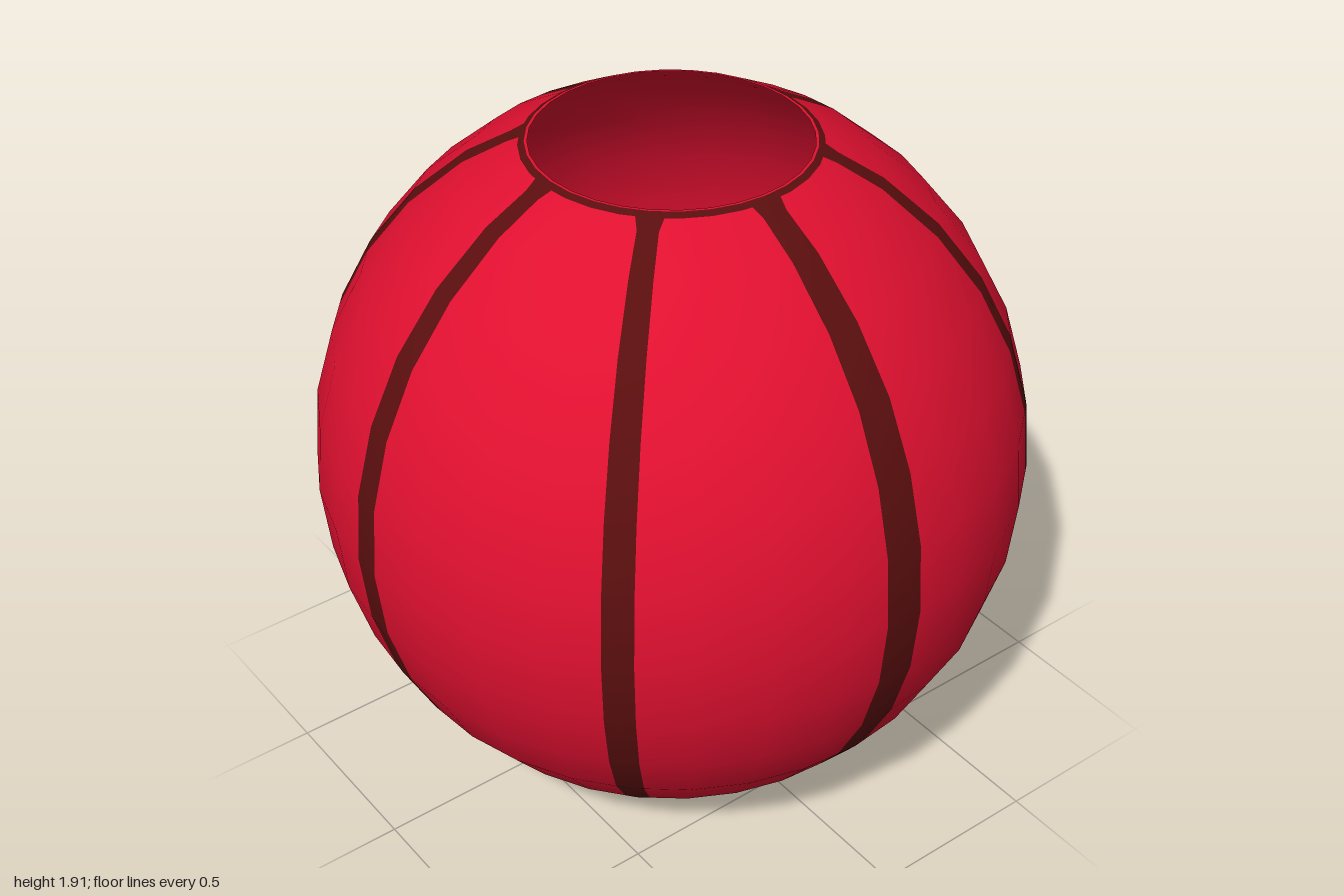
import * as THREE from 'three';

const STEP = 11.25;              // degrees per facet, both ways round
const STRETCH = 1.036;           // slight vertical stretch of the globe
const HALF = STRETCH * Math.cos(THREE.MathUtils.degToRad(22.5));
const rad = THREE.MathUtils.degToRad;
const lerp = THREE.MathUtils.lerp;

// Profile corner i (0 = bottom opening, 12 = top opening) as [radius, height]
function corner(i) {
  const lat = rad(-67.5 + STEP * i);
  return [Math.cos(lat), HALF + STRETCH * Math.sin(lat)];
}

// Point on the faceted globe at row t and azimuth a (degrees, 0 = front, 90 = +x)
function surfacePoint(t, a) {
  const i = Math.min(11, Math.floor(t)), f = t - i;
  const lo = corner(i), hi = corner(i + 1);
  const r = lerp(lo[0], hi[0], f), y = lerp(lo[1], hi[1], f);
  const s = Math.floor(a / STEP), g = a / STEP - s;
  const a0 = rad(s * STEP), a1 = rad((s + 1) * STEP);
  return new THREE.Vector3(
    r * lerp(Math.sin(a0), Math.sin(a1), g), y,
    r * lerp(Math.cos(a0), Math.cos(a1), g));
}

// Patch of the globe: columns(t) returns the azimuths for each row
function patch(rows, columns) {
  const pos = [], nor = [], idx = [];
  let n = 0;
  rows.forEach((t, j) => {
    const cols = columns(t);
    n = cols.length;
    cols.forEach((a, i) => {
      const p = surfacePoint(t, a);
      const m = new THREE.Vector3(p.x, (p.y - HALF) / (STRETCH * STRETCH), p.z).normalize();
      pos.push(p.x, p.y, p.z);
      nor.push(m.x, m.y, m.z);
      if (j > 0 && i > 0) {
        const d = j * n + i, c = d - 1, b = d - n, e = b - 1;
        idx.push(e, b, c, b, d, c);
      }
    });
  });
  const g = new THREE.BufferGeometry();
  g.setAttribute('position', new THREE.Float32BufferAttribute(pos, 3));
  g.setAttribute('normal', new THREE.Float32BufferAttribute(nor, 3));
  g.setIndex(idx);
  return g;
}

// Hand-painted ribs: half width at the equator and sideways drift (degrees) at rows 0, 3, 6, 9, 12
const RIBS = [
  { w: 0.055, drift: [0, -0.5, -0.6, -0.3, -0.8] },
  { w: 0.042, drift: [0, 0, 0, 0, 0] },
  { w: 0.046, drift: [0, -0.6, -0.6, 1.7, 5] },
  { w: 0.046, drift: [1, 2, -1.5, -3, 1.5] },
  { w: 0.060, drift: [0, -1, 0, 1, 0] },
  { w: 0.046, drift: [0, -2, 0, 1, 0] },
  { w: 0.043, drift: [0, 0, -0.8, -1.5, -1.5] },
  { w: 0.042, drift: [0, 0, 0, 0, 0] },
];

// Left and right azimuth of rib k at row t
function ribEdges(k, t) {
  const rib = RIBS[k % 8];
  const i = Math.min(3, Math.floor(t / 3));
  const drift = lerp(rib.drift[i], rib.drift[i + 1], t / 3 - i);
  const fromMiddle = Math.abs(t - 6) / 6;
  let width = rib.w * (1 - 0.38 * fromMiddle * fromMiddle);
  if (t < 0.3 || t > 11.8) width += 0.01;   // flare into the rings
  const r = Math.hypot(surfacePoint(t, 0).x, surfacePoint(t, 0).z);
  const half = THREE.MathUtils.radToDeg(width / r);
  return [k * 45 + Math.min(-0.1, drift - half), k * 45 + Math.max(0.1, drift + half)];
}

export function createModel() {
  const red = new THREE.MeshStandardMaterial({ color: 0xe01030 });
  red.name = 'lantern red';
  const brown = new THREE.MeshStandardMaterial({ color: 0x5a0e0e });
  brown.name = 'dark rib brown';

  const group = new THREE.Group();
  group.name = 'paperLantern';
  const add = (name, geometry, material) => {
    const mesh = new THREE.Mesh(geometry, material);
    mesh.name = name;
    group.add(mesh);
  };

  // Ribs and the panels between them
  const rows = [0.15, 0.4, 1, 2, 3, 4, 5, 6, 7, 8, 9, 10, 11, 11.7, 11.9];
  for (let k = 0; k < 8; k++) {
    add('rib' + (k + 1), patch(rows, (t) => {
      const [l, r] = ribEdges(k, t);
      return [l, k * 45, r];
    }), brown);
    add('panel' + (k + 1), patch(rows, (t) => [
      ribEdges(k, t)[1],
      k * 45 + STEP, k * 45 + 2 * STEP, k * 45 + 3 * STEP,
      ribEdges(k + 1, t)[0],
    ]), red);
  }

  // Dark rings round both openings
  const around = Array.from({ length: 33 }, (_, i) => i * STEP);
  add('bottomRing', patch([0, 0.15], () => around), brown);
  add('topRing', patch([11.9, 12], () => around), brown);

  // Plain inner wall and the thin rims joining it to the outside
  const T = 0.008;
  const inner = [];
  for (let i = 12; i >= 0; i--) {
    const [r, y] = corner(i);
    inner.push(new THREE.Vector2(r - T, y));
  }
  add('innerWall', new THREE.LatheGeometry(inner, 32), red);
  const [r, top] = corner(12);
  const rim = (r0, r1, y) => new THREE.LatheGeometry(
    [new THREE.Vector2(r0, y), new THREE.Vector2(r1, y)], 32);
  add('topRim', rim(r, r - T, top), red);
  add('bottomRim', rim(r - T, r, 0), red);

  return group;
}
